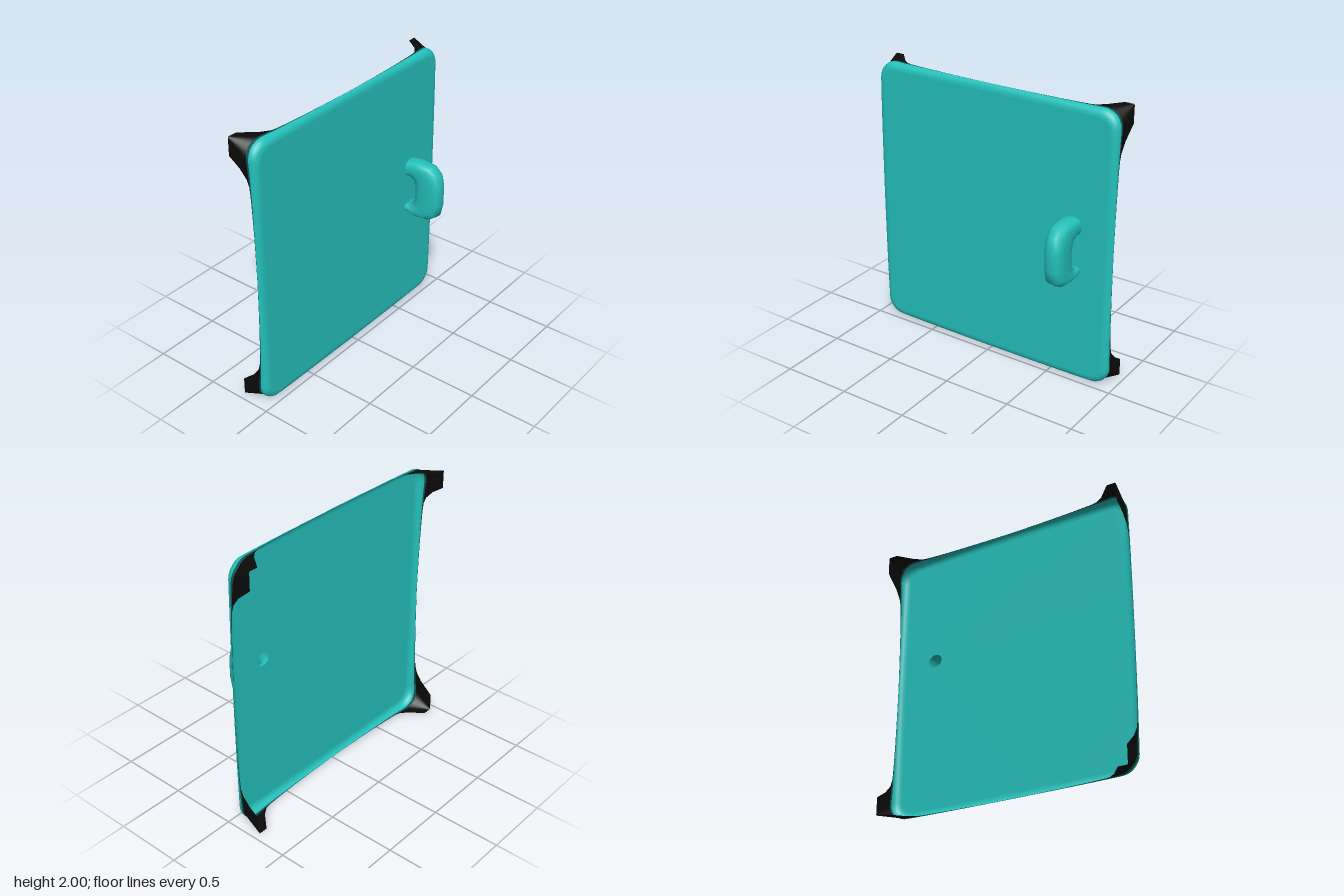
import * as THREE from 'three';

const W = 0.95, H = 1, FACE_Z = -0.034;
const ARC = 10, EDGE = 44;

const mat = (name, color) => {
  const m = new THREE.MeshStandardMaterial({ color, side: THREE.DoubleSide });
  m.name = name;
  return m;
};

// Rounded rectangle outline, counter-clockwise, with points gathered near the corners
function outline(inset, r) {
  const w = W - inset - r, h = H - inset - r;
  const centres = [[w, h], [-w, h], [-w, -h], [w, -h]];
  const pts = [];
  centres.forEach(([cx, cy], k) => {
    for (let i = 0; i <= ARC; i++) {
      const a = (k + i / ARC) * Math.PI / 2;
      pts.push([cx + r * Math.cos(a), cy + r * Math.sin(a)]);
    }
    const end = pts[pts.length - 1], a = (k + 1) * Math.PI / 2;
    const [nx, ny] = centres[(k + 1) % 4];
    const next = [nx + r * Math.cos(a), ny + r * Math.sin(a)];
    for (let i = 1; i < EDGE; i++) {
      const t = 0.5 - 0.5 * Math.cos(Math.PI * i / EDGE);
      pts.push([end[0] + (next[0] - end[0]) * t, end[1] + (next[1] - end[1]) * t]);
    }
  });
  return pts;
}

// Distance along the edge from the nearest corner
const cornerDistance = (x, y) => Math.max(W - Math.abs(x), H - Math.abs(y));
const nearness = (x, y) => Math.exp(-cornerDistance(x, y) / 0.33);
const rimZ = (x, y) => -0.06 - 0.035 * nearness(x, y);
const bandZ = (x, y) => rimZ(x, y) - 0.025 * nearness(x, y);

// Corner flaps reach far back at each corner and sweep up into the rim
function flapZ(x, y) {
  const dx = W - Math.abs(x), dy = H - Math.abs(y);
  const d = Math.max(dx, dy), len = dy > dx ? 0.14 : 0.08;
  const k = THREE.MathUtils.clamp(1 - (d - len) / (len * 1.1), 0, 1);
  return THREE.MathUtils.lerp(bandZ(x, y), -0.242, k ** 3);
}

// Skin between closed rings of points; skip() may drop quads
function skin(rings, skip = () => false) {
  const n = rings[0].length, index = [];
  for (let k = 0; k < rings.length - 1; k++) {
    for (let i = 0; i < n; i++) {
      const j = (i + 1) % n;
      if (skip(i, j)) continue;
      const a = k * n + i, b = k * n + j;
      index.push(a, a + n, b + n, a, b + n, b);
    }
  }
  const g = new THREE.BufferGeometry();
  g.setAttribute('position', new THREE.Float32BufferAttribute(rings.flat(2), 3));
  g.setIndex(index);
  g.computeVertexNormals();
  return g;
}

export function createModel() {
  const group = new THREE.Group();
  group.name = 'door';
  const teal = mat('teal', 0x24c0ba);
  const darkTeal = mat('darkTeal', 0x125450);
  const black = mat('black', 0x0b0b0b);
  const add = (name, geometry, material) => {
    const m = new THREE.Mesh(geometry, material);
    m.name = name;
    m.position.y = H;
    group.add(m);
  };

  // Flat face, pierced behind the upper end of the hollow handle
  const INSET = 0.05, R_IN = 0.1, R_OUT = 0.13;
  const shape = new THREE.Shape(outline(INSET, R_IN).map(([x, y]) => new THREE.Vector2(x, y)));
  const hole = new THREE.Path();
  hole.absellipse(0.65, 0.16, 0.055, 0.05, 0, Math.PI * 2, true);
  shape.holes.push(hole);
  add('doorFace', new THREE.ShapeGeometry(shape, 8).translate(0, 0, FACE_Z), teal);

  // Rounded rim, deeper toward the corners
  const rings = [];
  for (let s = 0; s <= 6; s++) {
    const a = s / 6 * Math.PI / 2;
    const r = THREE.MathUtils.lerp(R_IN, R_OUT, s / 6);
    rings.push(outline(INSET * (1 - Math.sin(a)), r).map(([x, y]) =>
      [x, y, FACE_Z + (rimZ(x, y) - FACE_Z) * (1 - Math.cos(a))]));
  }
  add('rim', skin(rings), teal);

  // Dark band behind the rim
  const edge = outline(0, R_OUT), tip = outline(0, 0.01);
  const band = edge.map(([x, y]) => [x, y, bandZ(x, y)]);
  add('rimBand', skin([edge.map(([x, y]) => [x, y, rimZ(x, y)]), band]), darkTeal);

  // Black flaps flaring to square corners
  const flap = tip.map(([x, y]) => [x, y, flapZ(x, y)]);
  const reach = tip.map(([x, y]) => bandZ(x, y) - flapZ(x, y));
  add('cornerFlaps', skin([band, flap], (i, j) => reach[i] < 0.001 && reach[j] < 0.001), black);

  // Hollow handle: [inner z, inner y, outer z, outer y] of each cross-section
  const sections = [
    [-0.034, 1.1, -0.034, 1.225], [0, 1.1, 0.06, 1.235], [0.022, 1.08, 0.165, 1.222],
    [0.03, 1.05, 0.225, 1.17], [0.033, 1.01, 0.245, 1.08], [0.033, 0.96, 0.245, 0.93],
    [0.028, 0.92, 0.225, 0.84], [0.01, 0.89, 0.165, 0.797], [-0.01, 0.875, 0.06, 0.79],
    [-0.034, 0.87, -0.034, 0.82],
  ];
  const round = (v) => Math.sign(v) * Math.abs(v) ** 0.75;
  add('handle', skin(sections.map(([iz, iy, oz, oy]) => {
    const ring = [];
    for (let i = 0; i < 20; i++) {
      const a = -i / 20 * Math.PI * 2;
      const t = 0.5 + 0.5 * round(Math.sin(a));
      ring.push([0.652 + 0.07 * round(Math.cos(a)), iy + (oy - iy) * t - H, iz + (oz - iz) * t]);
    }
    return ring;
  })), teal);

  return group;
}
